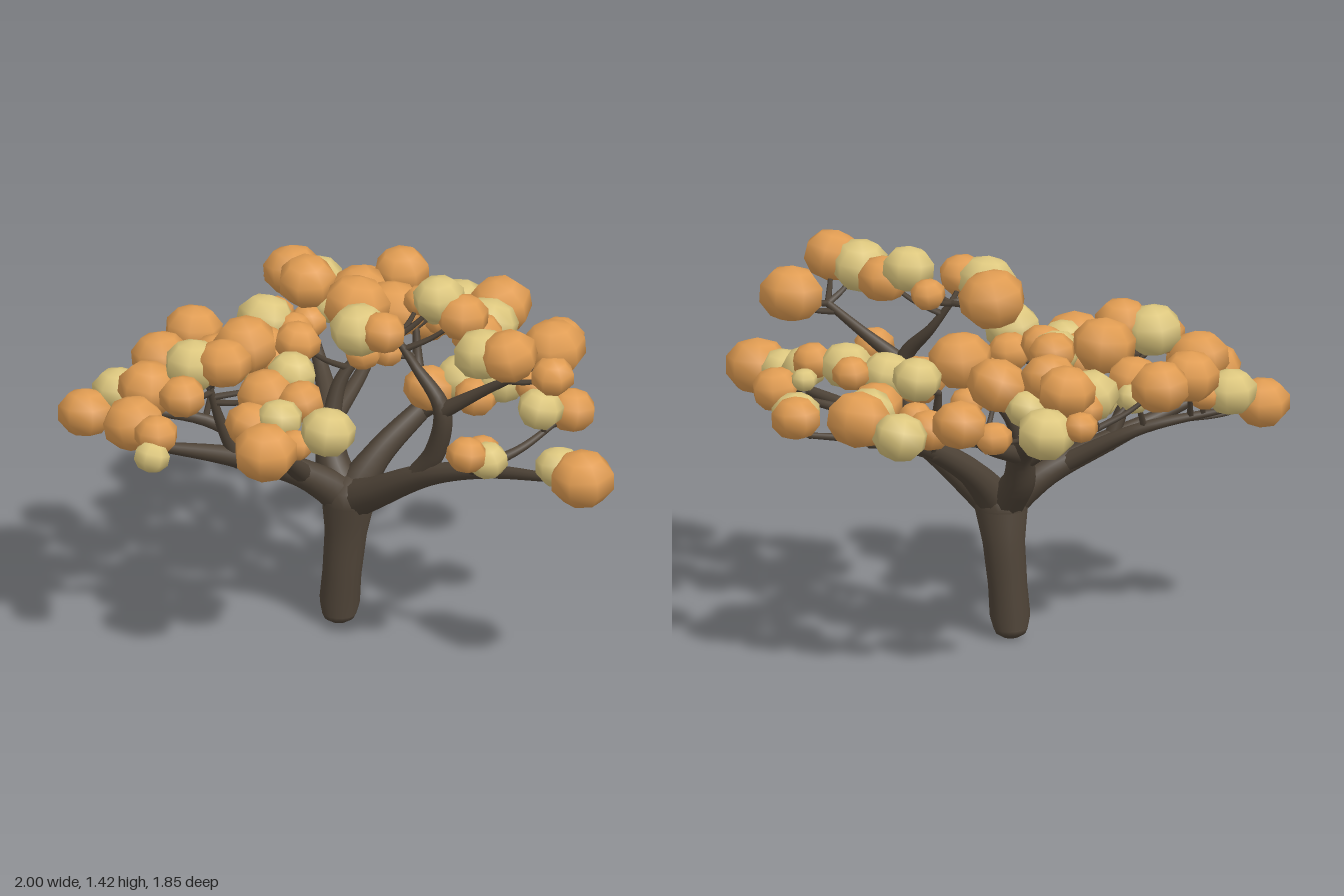
import * as THREE from 'three';

export function createModel() {
  const tree = new THREE.Group();
  tree.name = 'tree';
  const bark = new THREE.MeshStandardMaterial({ color: 0x4e4337 });
  bark.name = 'dark bark';
  const amber = new THREE.MeshStandardMaterial({ color: 0xe09c52 });
  amber.name = 'amber leaves';
  const straw = new THREE.MeshStandardMaterial({ color: 0xddc77e });
  straw.name = 'straw leaves';

  let seed = 7;
  const rand = () => (seed = (seed * 16807) % 2147483647) / 2147483647;
  const vec = (p) => new THREE.Vector3(p[0], p[1], p[2]);
  const nodes = [];

  // Tapered tube through points [x, y, z, radius]; both ends are rounded off
  function limb(name, points, parent = tree, sides = 10) {
    const curve = new THREE.CatmullRomCurve3(points.map(vec));
    const steps = points.length * 5;
    const geo = new THREE.TubeGeometry(curve, steps, 1, sides);
    const pos = geo.attributes.position;
    const v = new THREE.Vector3();
    for (let i = 0; i <= steps; i++) {
      const u = i / steps;
      const c = curve.getPointAt(u);
      const f = curve.getUtoTmapping(u) * (points.length - 1);
      const k = Math.min(Math.floor(f), points.length - 2);
      const r = THREE.MathUtils.lerp(points[k][3], points[k + 1][3], f - k);
      for (let j = 0; j <= sides; j++) {
        const n = i * (sides + 1) + j;
        v.fromBufferAttribute(pos, n).sub(c).multiplyScalar(r).add(c);
        pos.setXYZ(n, v.x, v.y, v.z);
      }
      if (parent === tree && name !== 'trunk' && u > 0.45) nodes.push(c);
    }
    const mesh = new THREE.Mesh(geo, bark);
    mesh.name = name;
    parent.add(mesh);
    for (const p of [points[0], points[points.length - 1]]) {
      const cap = new THREE.Mesh(new THREE.SphereGeometry(p[3], sides, 6), bark);
      cap.position.copy(vec(p));
      if (p[1] < 0.1) cap.scale.y = 0.6;
      cap.name = name + 'End';
      parent.add(cap);
    }
  }

  // Trunk
  limb('trunk', [[-.166, .04, .008, .062], [-.163, .09, .007, .074], [-.155, .2, .003, .071],
    [-.143, .36, -.005, .077], [-.128, .49, -.005, .097]], tree, 16);

  // Main limbs leave the trunk tangentially so the fork flows
  const root = [[-.143, .36, -.005, .068], [-.13, .47, -.005, .08]];
  // Right side limbs
  limb('eastLimb', [...root, [.01, .56, -.04, .058], [.23, .685, -.11, .042], [.45, .75, -.2, .027], [.78, .81, -.3, .015]]);
  limb('eastRiser', [[.16, .65, -.09, .04], [.25, .78, -.12, .04], [.29, .96, -.12, .033], [.18, 1.1, -.08, .018], [.12, 1.2, -.04, .012]]);
  limb('eastFork', [[.29, .95, -.12, .031], [.42, 1.05, -.2, .02], [.55, 1.14, -.26, .014]]);
  limb('eastTwigFront', [[.4, .74, -.18, .022], [.5, .82, -.1, .013]]);
  limb('eastTwigBack', [[.4, .74, -.18, .024], [.45, .8, -.35, .016], [.45, .86, -.5, .011]]);
  // Left side limbs
  limb('westLimb', [...root, [-.235, .61, -.01, .06], [-.3, .74, -.05, .046], [-.5, .85, -.15, .027], [-.7, 1, -.22, .013]]);
  limb('westBackLimb', [[-.29, .73, -.05, .036], [-.45, .84, -.32, .022], [-.64, .95, -.53, .012]]);
  limb('westFrontLimb', [[-.27, .69, -.03, .034], [-.42, .79, .03, .022], [-.6, .88, .06, .012]]);
  limb('westRiser', [[-.29, .72, -.04, .038], [-.3, .88, -.1, .025], [-.26, 1.02, -.22, .013]]);
  // Front limbs
  limb('frontLimb', [...root, [-.19, .595, .13, .054], [-.27, .7, .38, .039], [-.34, .8, .7, .017]]);
  limb('frontRightLimb', [[-.2, .6, .14, .04], [-.05, .75, .33, .024], [.14, .87, .48, .012]]);
  limb('frontLeftLimb', [[-.22, .63, .2, .036], [-.44, .78, .38, .023], [-.6, .84, .65, .012]]);
  limb('frontRiser', [[-.27, .69, .38, .032], [-.28, .85, .45, .02], [-.28, 1, .5, .012]]);
  // Back limbs
  limb('backLimb', [...root, [-.125, .63, -.13, .052], [-.13, .78, -.36, .036], [-.2, .86, -.58, .022], [-.3, .9, -.75, .012]]);
  limb('backRightLimb', [[-.13, .75, -.32, .032], [0, .85, -.39, .024], [.2, .91, -.36, .014]]);
  limb('backTwig', [[-.13, .76, -.34, .028], [-.09, .83, -.55, .018], [-.02, .88, -.8, .011]]);
  limb('backRiser', [[-.13, .76, -.34, .028], [-.22, .9, -.38, .02], [-.26, 1.02, -.4, .012]]);

  // Faceted-outline leaf clump, smooth shaded
  const clump = new THREE.SphereGeometry(1, 7, 5);
  function foliage(name, amberClumps, strawClumps) {
    const group = new THREE.Group();
    group.name = name;
    tree.add(group);
    [[amber, amberClumps], [straw, strawClumps]].forEach(([mat, list]) => {
      for (const [x, y, z, r] of list) {
        const leaf = new THREE.Mesh(clump, mat);
        leaf.name = 'leafClump';
        leaf.position.set(x, y, z);
        leaf.scale.set(r * 1.1, r * 0.94, r * 1.1);
        leaf.rotation.set((rand() - 0.5) * 0.4, rand() * 6.28, (rand() - 0.5) * 0.4);
        group.add(leaf);
        // Twig from the closest limb point below the clump
        let best = null, bestD = Infinity;
        for (const n of nodes) {
          const d = n.distanceTo(leaf.position) + (n.y > y - 0.03 ? 0.3 : 0);
          if (d < bestD) { bestD = d; best = n; }
        }
        limb('twig', [[best.x, best.y, best.z, .013],
          [(best.x + x) / 2, (best.y + y) / 2 - .015, (best.z + z) / 2, .01], [x, y, z, .007]], group, 5);
      }
    });
  }

  foliage('foliageTop',
    [[-.09, 1.26, -.015, .115], [.19, 1.27, .07, .08], [.05, 1.28, -.2, .06], [.28, 1.29, -.22, .09],
      [.55, 1.21, -.43, .11], [.65, 1.28, -.16, .1], [.64, 1.15, -.36, .075]],
    [[.1, 1.26, .11, .1], [.19, 1.34, -.18, .09], [.54, 1.26, -.12, .1]]);
  foliage('foliageRight',
    [[.88, .84, -.32, .11], [.61, .92, 0, .07], [.51, .86, -.14, .065], [.455, .9, -.575, .085], [.39, 1, -.46, .07]],
    [[.76, .85, -.3, .08], [.6, .87, -.1, .07], [.48, .95, -.42, .08], [.3, .97, -.57, .045]]);
  foliage('foliageBack',
    [[.18, 1, -.45, .065], [.25, .95, -.3, .075], [-.25, 1.12, -.29, .11], [-.42, .95, -.57, .08], [-.34, .98, -.57, .06],
      [-.285, 1, -.79, .11], [-.14, .98, -.59, .09], [0, .95, -.85, .085], [-.18, 1.02, -.11, .065], [.09, .95, -.21, .09],
      [-.26, .96, -.27, .06]],
    [[.27, 1, -.4, .09], [.135, .98, -.32, .09], [-.26, 1.09, -.5, .085], [-.45, .96, -.73, .095],
      [-.21, .98, -.69, .1], [.035, .95, -.82, .085]]);
  foliage('foliageLeft',
    [[-.67, 1.04, -.63, .095], [-.75, .99, -.54, .065], [-.94, 1.03, -.29, .06], [-.77, 1.11, -.22, .1], [-.64, 1.12, -.19, .1],
      [-.5, 1.09, -.32, .105], [-.69, 1, -.08, .07], [-.54, 1, -.06, .065], [-.53, .98, .08, .075], [-.45, .95, .1, .06],
      [-.28, 1.08, .11, .08], [-.62, .97, -.18, .065]],
    [[-.85, 1, -.38, .1], [-.62, 1.02, -.28, .075], [-.63, 1.02, 0, .1]]);
  foliage('foliageFrontLeft',
    [[-.7, 1.02, .27, .1], [-.5, .99, .31, .095], [-.35, 1.09, .29, .11], [-.61, 1, .48, .1], [-.58, .91, .57, .06],
      [-.64, .85, .79, .095], [-.22, 1.11, .48, .095], [-.42, .99, .67, .105], [-.345, .91, .79, .105],
      [-.21, 1.03, .67, .08], [-.19, .92, .8, .075]],
    [[-.57, .95, .25, .06], [-.48, .93, .18, .055], [-.62, .91, .66, .09], [-.31, 1.09, .55, .1], [-.15, .86, .85, .062]]);
  foliage('foliageFrontRight',
    [[-.14, .98, .35, .1], [.02, 1, .31, .08], [.19, .94, .29, .075], [-.02, .94, .5, .09], [.07, .88, .55, .06],
      [.19, .93, .59, .11], [.18, .92, .45, .06]],
    [[-.15, 1.03, .23, .085], [.285, .99, .38, .095], [.07, .98, .44, .08]]);

  return tree;
}
